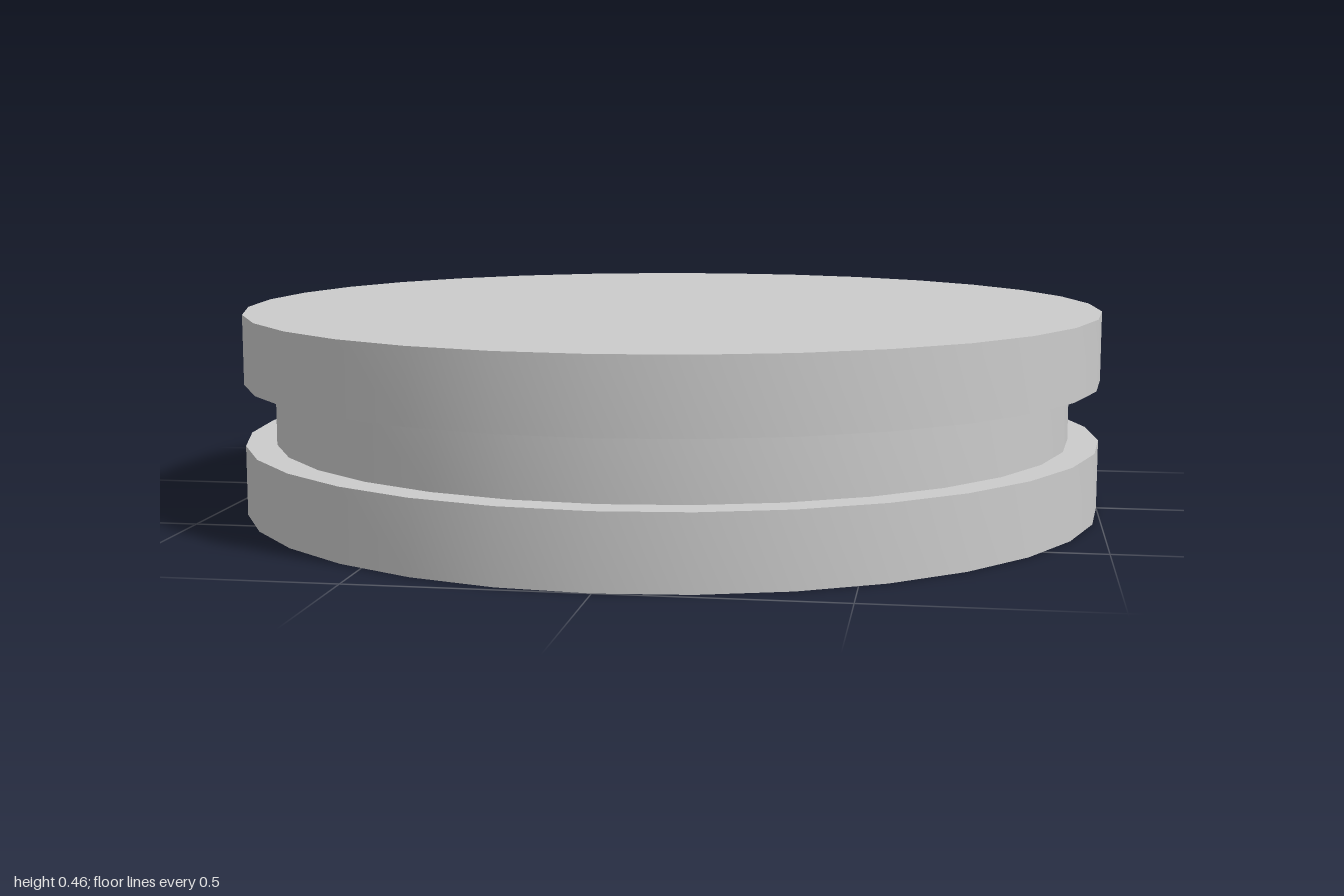
import * as THREE from 'three';
import { toCreasedNormals } from 'three/addons/utils/BufferGeometryUtils.js';

export function createModel() {
  const group = new THREE.Group();
  group.name = 'groovedDisc';

  const sides = 32;
  const outer = 1, groove = 0.93, recess = 0.885;
  const height = 0.46, recessDepth = 0.08, grooveLow = 0.16, grooveHigh = 0.3;

  // Half profile, from the recessed underside outward and up to the flat top
  const profile = [
    [0, recessDepth],
    [recess, recessDepth],
    [recess, 0],
    [outer, 0],
    [outer, grooveLow],
    [groove, grooveLow],
    [groove, grooveHigh],
    [outer, grooveHigh],
    [outer, height],
    [0, height],
  ].map(([r, y]) => new THREE.Vector2(r, y));

  // Smooth around the rim, sharp at every profile corner
  const geometry = toCreasedNormals(new THREE.LatheGeometry(profile, sides), Math.PI / 6);
  const body = new THREE.Mesh(geometry, new THREE.MeshStandardMaterial({ color: 0xcccccc }));
  body.name = 'discBody';
  group.add(body);

  return group;
}
